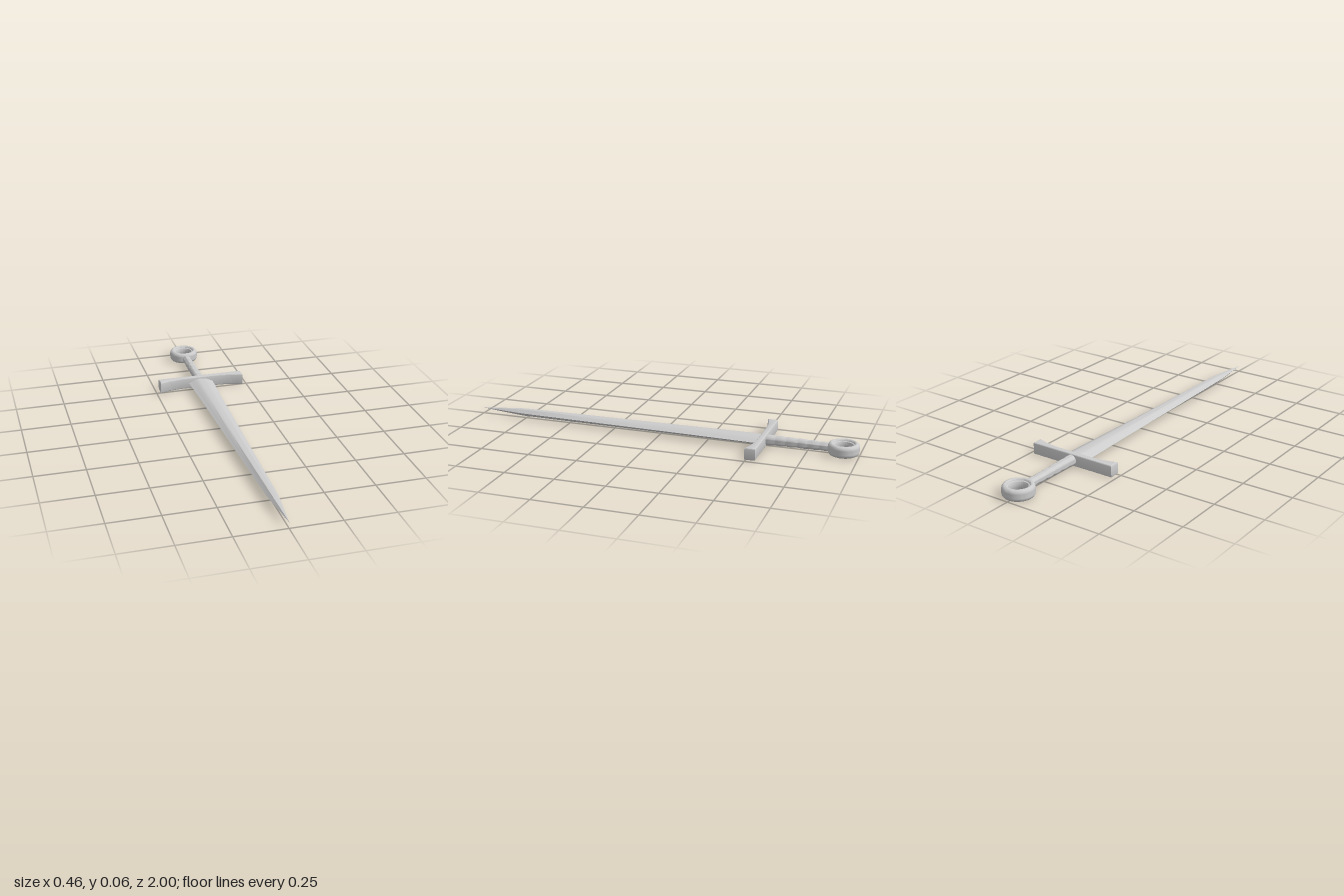
import * as THREE from 'three';
import { toCreasedNormals } from 'three/addons/utils/BufferGeometryUtils.js';

const MID = 0.031; // height of the sword's centre plane

export function createModel() {
  const group = new THREE.Group();
  const material = new THREE.MeshStandardMaterial({ color: 0xcccccc });
  const add = (name, geometry, crease = 0.6) => {
    const mesh = new THREE.Mesh(toCreasedNormals(geometry, crease), material);
    mesh.name = name;
    mesh.position.y = MID;
    group.add(mesh);
    return mesh;
  };

  add('blade', bladeGeometry(), 0.5);
  add('crossguard', guardGeometry());
  add('grip', gripGeometry(), 0.8);
  add('ringPommel', pommelGeometry(), 0.7);
  return group;
}

// Tapering blade: thin edges rising to a broad rounded ridge, then a point
function bladeGeometry() {
  const half = [[1, 0], [0.72, 0.42], [0.42, 0.92], [0.2, 1], [0, 1], [-0.2, 1], [-0.42, 0.92], [-0.72, 0.42]];
  const section = [...half, ...half.map(([x, y]) => [-x, -y])];
  // z, half width, half thickness
  const stations = [
    [-0.535, 0.066, 0.02], [-0.2, 0.054, 0.02], [0.2, 0.043, 0.019],
    [0.55, 0.033, 0.019], [0.76, 0.027, 0.018], [0.88, 0.014, 0.01], [1, 0.0005, 0.0005],
  ];
  const positions = [], index = [], n = section.length;
  for (const [z, w, t] of stations) for (const [x, y] of section) positions.push(x * w, y * t, z);
  for (let i = 0; i < stations.length - 1; i++) {
    for (let j = 0; j < n; j++) {
      const k = (j + 1) % n;
      const a = i * n + j, b = i * n + k, c = b + n, d = a + n;
      index.push(a, b, c, a, c, d);
    }
  }
  const geometry = new THREE.BufferGeometry();
  geometry.setAttribute('position', new THREE.Float32BufferAttribute(positions, 3));
  geometry.setIndex(index);
  return geometry;
}

// Crossguard: straight at the back, flaring toward the blade at both ends
function guardGeometry() {
  const bevel = 0.005;
  const shape = new THREE.Shape();
  shape.moveTo(-0.224, -0.541);
  shape.lineTo(0.224, -0.541);
  shape.lineTo(0.224, -0.499);
  shape.quadraticCurveTo(0.16, -0.523, 0.08, -0.523);
  shape.lineTo(-0.08, -0.523);
  shape.quadraticCurveTo(-0.16, -0.523, -0.224, -0.499);
  shape.closePath();
  const depth = 0.06 - 2 * bevel;
  const geometry = new THREE.ExtrudeGeometry(shape, {
    depth, bevelEnabled: true, bevelSize: bevel, bevelThickness: bevel, bevelSegments: 3, curveSegments: 10,
  });
  geometry.translate(0, 0, -depth / 2);
  return geometry.rotateX(Math.PI / 2);
}

// Grip: slim tapering handle with swelling bands
function gripGeometry() {
  const start = 0.535, end = 0.862, steps = 60, bands = 6;
  const profile = [];
  for (let i = 0; i <= steps; i++) {
    const u = i / steps;
    const swell = 0.0022 * Math.abs(Math.sin(u * bands * Math.PI));
    profile.push(new THREE.Vector2(0.0245 - 0.005 * u + swell, start + u * (end - start)));
  }
  return new THREE.LatheGeometry(profile, 24).rotateX(-Math.PI / 2);
}

// Ring pommel: rounded outside, with a stepped lip around the hole
function pommelGeometry() {
  const upper = [
    [0.077, 0], [0.0765, 0.01], [0.074, 0.019], [0.069, 0.026], [0.063, 0.029],
    [0.057, 0.029], [0.053, 0.026], [0.051, 0.02], [0.045, 0.018], [0.043, 0.013], [0.042, 0],
  ];
  const lower = upper.slice(1, -1).map(([r, y]) => [r, -y]).reverse();
  const profile = [...upper, ...lower, upper[0]].map(([r, y]) => new THREE.Vector2(r, y));
  return new THREE.LatheGeometry(profile, 48).translate(0, 0, -0.923);
}
